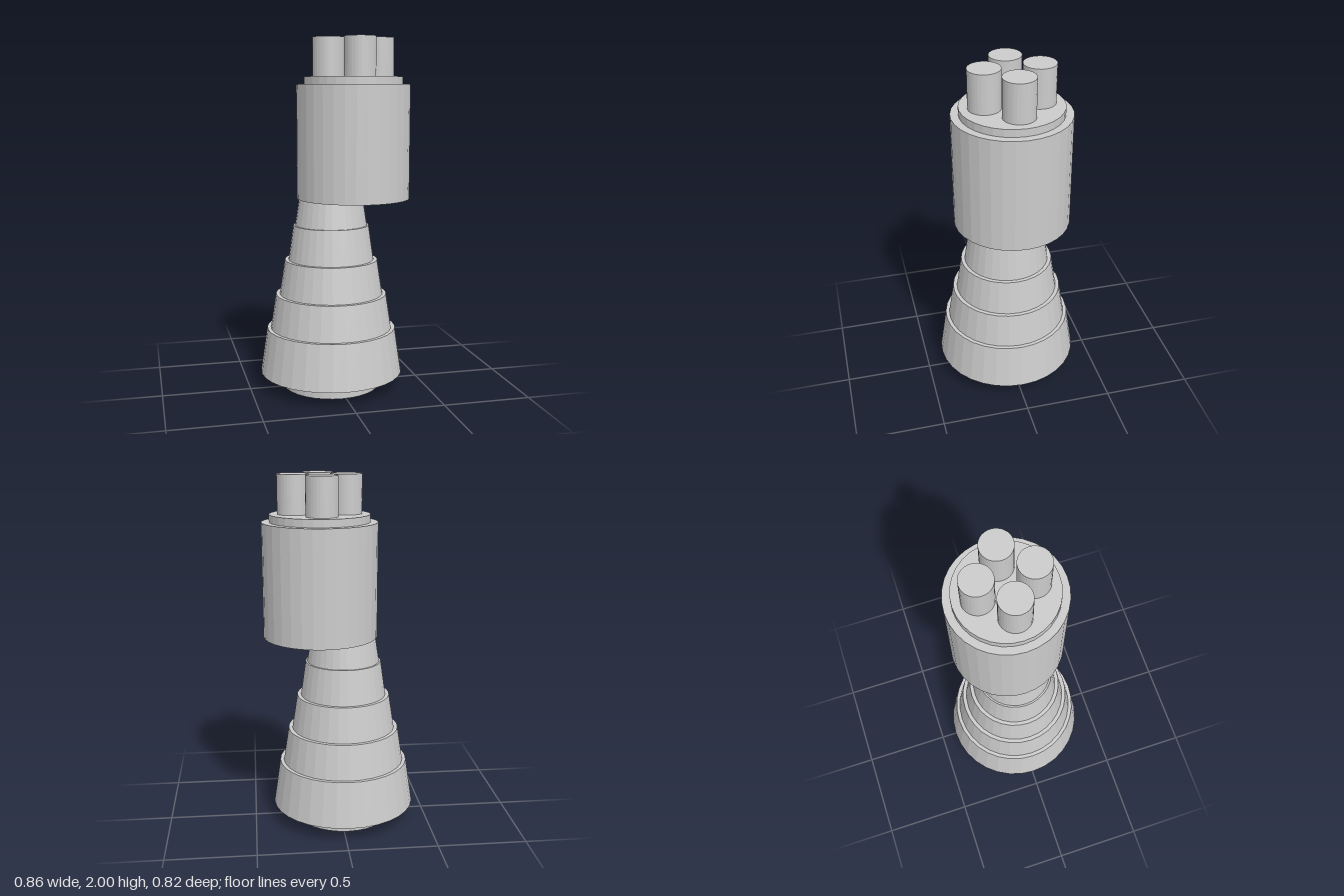
import * as THREE from 'three';

export function createModel() {
  const group = new THREE.Group();
  const material = new THREE.MeshStandardMaterial({ color: 0xcccccc, flatShading: true });
  const lowerX = -0.022, upperX = 0.108;

  // Upright 32-sided cylinder or cone between two heights
  function drum(name, x, z, y0, y1, rBottom, rTop = rBottom) {
    const mesh = new THREE.Mesh(new THREE.CylinderGeometry(rTop, rBottom, y1 - y0, 32), material);
    mesh.name = name;
    mesh.position.set(x, (y0 + y1) / 2, z);
    group.add(mesh);
  }

  // Foot and stepped, tapering stem
  drum('foot', lowerX, 0, 0, 0.085, 0.278);
  const tiers = [
    [0.085, 0.345, 0.41, 0.371],
    [0.345, 0.545, 0.35, 0.319],
    [0.545, 0.745, 0.297, 0.266],
    [0.745, 0.945, 0.245, 0.216],
    [0.945, 1.095, 0.206, 0.183],
  ];
  tiers.forEach(([y0, y1, r0, r1], i) => drum(`stemTier${i + 1}`, lowerX, 0, y0, y1, r0, r1));

  // Offset body with its cap plate
  drum('body', upperX, 0, 1.095, 1.74, 0.322);
  drum('capPlate', upperX, 0, 1.74, 1.783, 0.279);

  // Four posts around the cap
  for (let i = 0; i < 4; i++) {
    const a = (i * Math.PI) / 2;
    drum(`post${i + 1}`, upperX + 0.146 * Math.cos(a), 0.146 * Math.sin(a), 1.783, 2, 0.088);
  }
  return group;
}
